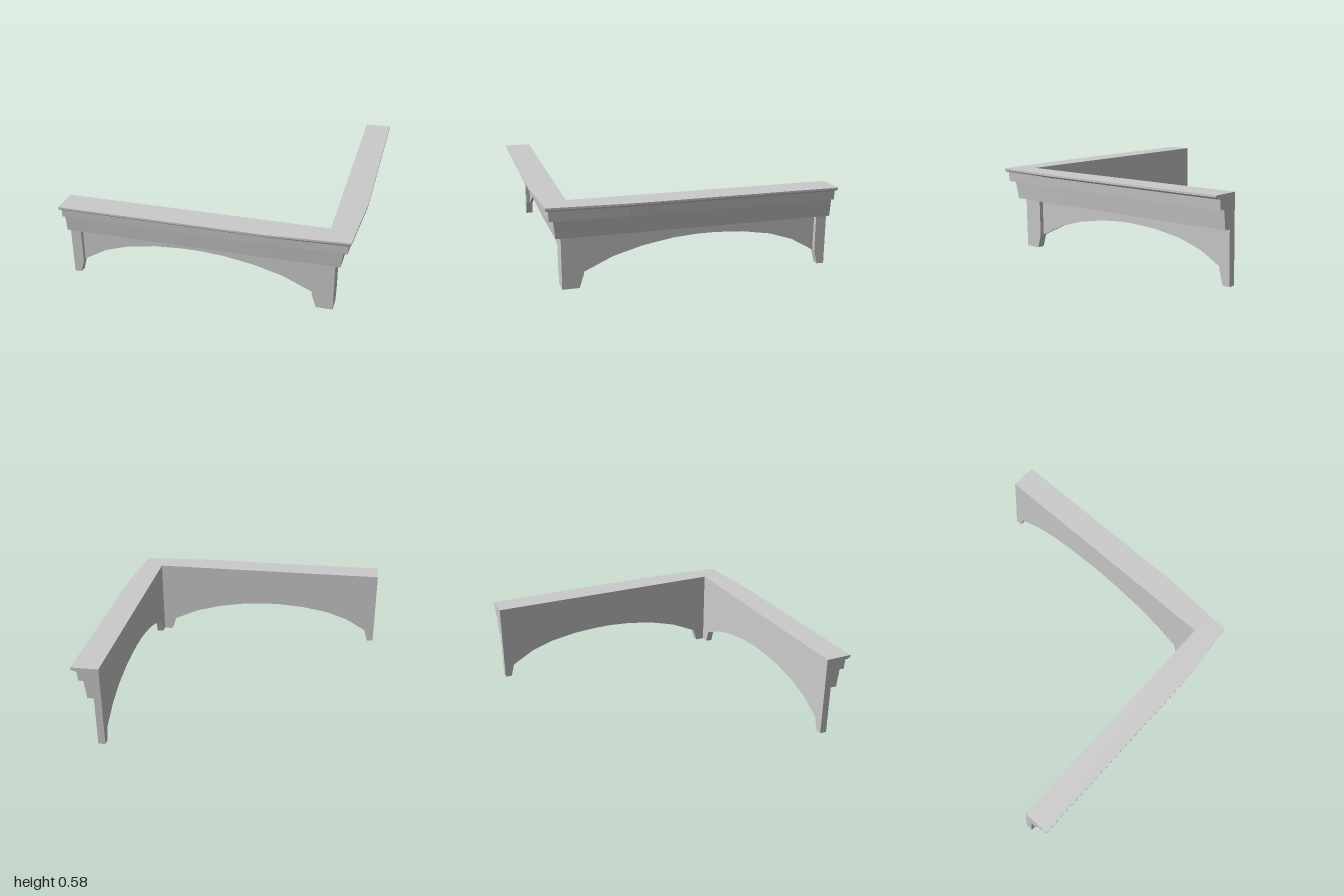
import * as THREE from 'three';

const INNER = 0.81; // back plane of both arms
const material = new THREE.MeshStandardMaterial({ color: 0xcccccc, flatShading: true });

// Moulding cross-section: [distance outward, height, pull-in at the corner]
const PROFILE = [
  [INNER, 0.36, 0], [0.905, 0.36, 0.006], [0.92, 0.49, 0.007], [0.955, 0.49, 0.012],
  [0.96, 0.558, 0.013], [0.985, 0.56, 0.025], [1, 0.572, 0.035], [1, 0.585, 0.035],
  [INNER, 0.585, 0],
];

// Underside of the arch
const ARCH = [
  [-0.925, 0.095], [-0.76, 0.19], [-0.59, 0.245], [-0.39, 0.278], [-0.2, 0.29],
  [-0.07, 0.29], [0.1, 0.278], [0.31, 0.243], [0.51, 0.188], [0.715, 0.095],
];

// Loft the moulding from the open end to the mitred corner
function corniceGeometry() {
  const stations = [
    PROFILE.map(([d, y]) => [-1, y, d]),
    PROFILE.map(([d, y]) => [0.43, y, d]),
    PROFILE.map(([d, y, pull]) => [d - pull, y, d - pull]),
  ];
  const n = PROFILE.length;
  const positions = [];
  const tri = (a, b, c) => positions.push(...a, ...b, ...c);
  for (let s = 0; s < stations.length - 1; s++) {
    for (let i = 0; i < n; i++) {
      const j = (i + 1) % n;
      const a = stations[s][i], b = stations[s + 1][i];
      const c = stations[s + 1][j], d = stations[s][j];
      tri(a, b, c);
      tri(a, c, d);
    }
  }
  // End cap facing -x
  const outline = PROFILE.map(([d, y]) => new THREE.Vector2(d, y));
  for (const [a, b, c] of THREE.ShapeUtils.triangulateShape(outline, [])) {
    tri(stations[0][a], stations[0][b], stations[0][c]);
  }
  const geometry = new THREE.BufferGeometry();
  geometry.setAttribute('position', new THREE.Float32BufferAttribute(positions, 3));
  geometry.computeVertexNormals();
  return geometry;
}

// Extrude an x-y outline outward from the back plane
function slab(points, depth) {
  const shape = new THREE.Shape(points.map(([x, y]) => new THREE.Vector2(x, y)));
  return new THREE.ExtrudeGeometry(shape, { depth, bevelEnabled: false }).translate(0, 0, INNER);
}

// Swap x and z, then restore the winding
function mirrorToSide(source) {
  const geometry = source.index ? source.toNonIndexed() : source;
  const p = geometry.attributes.position;
  const v = [0, 1, 2].map(() => new THREE.Vector3());
  for (let i = 0; i < p.count; i += 3) {
    v.forEach((q, k) => q.fromBufferAttribute(p, i + k));
    [v[0], v[2], v[1]].forEach((q, k) => p.setXYZ(i + k, q.z, q.y, q.x));
  }
  geometry.computeVertexNormals();
  return geometry;
}

function createArm(name, onSide) {
  const arm = new THREE.Group();
  arm.name = name;
  const add = (part, geometry) => {
    const mesh = new THREE.Mesh(onSide ? mirrorToSide(geometry) : geometry, material);
    mesh.name = part;
    arm.add(mesh);
  };
  // The front arm's leg fills the corner square; the side leg butts against it
  const cornerEnd = onSide ? INNER : 0.86;

  add('cornice', corniceGeometry());
  add('archPanel', slab([...ARCH, [0.715, 0.36], [-0.925, 0.36]], 0.02));
  add('endLeg', slab([[-1, 0], [-0.95, 0], [-0.925, 0.095], [-0.925, 0.36], [-1, 0.36]], 0.05));
  add('cornerLeg', slab(
    [[0.745, 0], [cornerEnd, 0], [cornerEnd, 0.36], [0.715, 0.36], [0.715, 0.095]], 0.05));
  return arm;
}

export function createModel() {
  const model = new THREE.Group();
  model.name = 'cornerMantel';
  model.add(createArm('frontArm', false), createArm('sideArm', true));
  return model;
}
